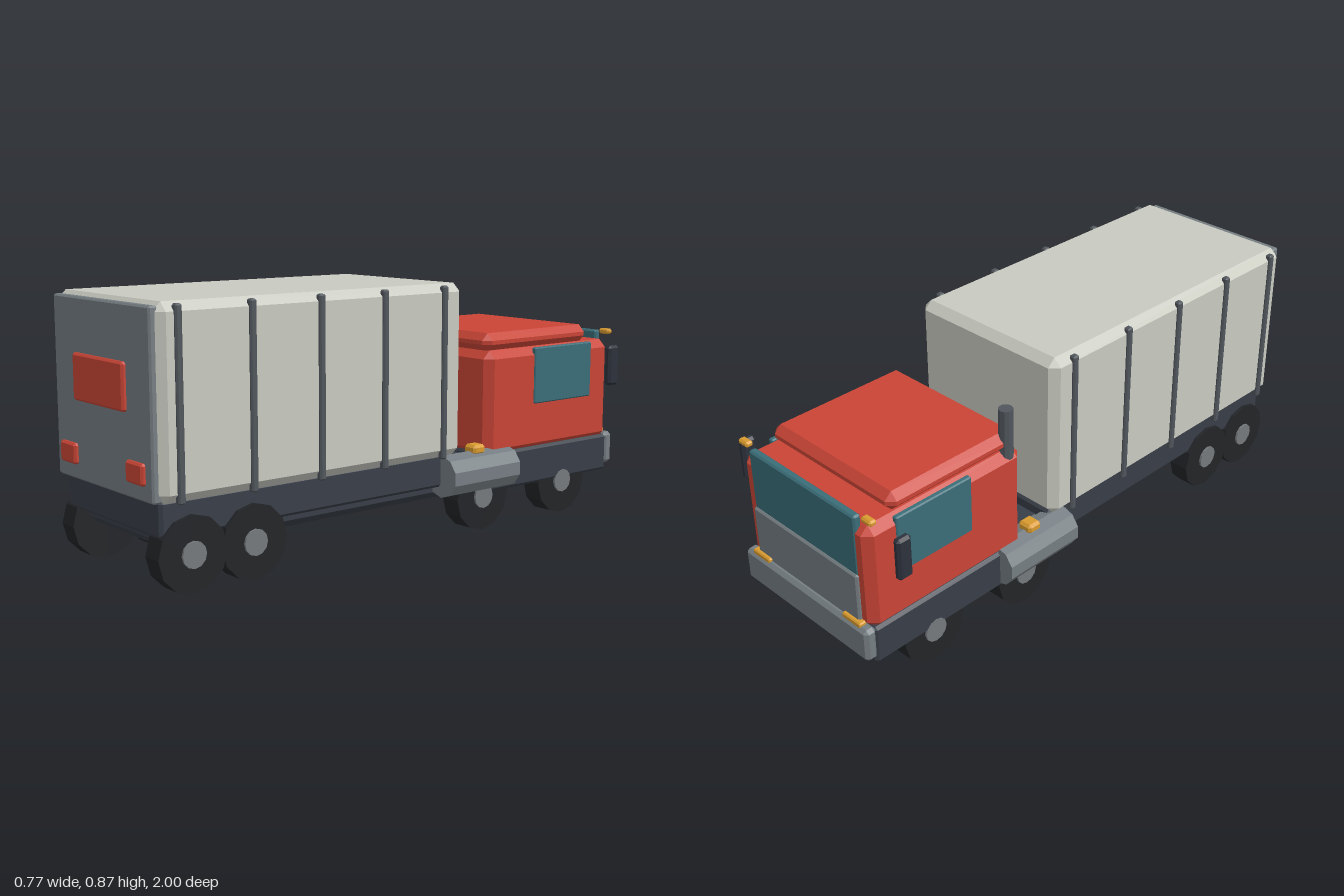
import * as THREE from 'three';
import { ConvexGeometry } from 'three/addons/geometries/ConvexGeometry.js';

const COLORS = {
  red: 0xc94436, cargo: 0xc8cac0, grey: 0x757d82, rib: 0x50565c, dark: 0x383e48,
  glass: 0x3a6d78, tyre: 0x222427, hub: 0x75797c, amber: 0xd89a2e, mirror: 0x2c313b,
};

const materials = {};
for (const [key, color] of Object.entries(COLORS)) {
  materials[key] = new THREE.MeshStandardMaterial({ color, flatShading: true });
}

// Box with chamfered edges, centred on the origin
function chamferBox(w, h, d, b) {
  const points = [];
  for (const sx of [-1, 1]) for (const sy of [-1, 1]) for (const sz of [-1, 1]) {
    for (let axis = 0; axis < 3; axis++) {
      const inset = [b, b, b];
      inset[axis] = 0;
      points.push(new THREE.Vector3(
        sx * (w / 2 - inset[0]), sy * (h / 2 - inset[1]), sz * (d / 2 - inset[2])));
    }
  }
  return new ConvexGeometry(points);
}

export function createModel() {
  const truck = new THREE.Group();
  truck.name = 'boxTruck';

  function add(name, geometry, material, x = 0, y = 0, z = 0) {
    const mesh = new THREE.Mesh(geometry, materials[material]);
    mesh.name = name;
    mesh.position.set(x, y, z);
    truck.add(mesh);
    return mesh;
  }

  // Chamfered block given by its extents on each axis
  function block(name, material, [x0, x1], [y0, y1], [z0, z1], bevel) {
    return add(name, chamferBox(x1 - x0, y1 - y0, z1 - z0, bevel), material,
      (x0 + x1) / 2, (y0 + y1) / 2, (z0 + z1) / 2);
  }

  // The same block on both sides
  function pair(name, material, [x0, x1], ys, zs, bevel) {
    block(name + 'Left', material, [x0, x1], ys, zs, bevel);
    block(name + 'Right', material, [-x1, -x0], ys, zs, bevel);
  }

  // Chassis
  block('chassis', 'dark', [-0.24, 0.24], [0.125, 0.25], [-0.95, 0.92], 0.025);
  block('cargoSubframe', 'dark', [-0.28, 0.28], [0.175, 0.29], [-0.2, 0.96], 0.01);
  block('cabBase', 'dark', [-0.3, 0.3], [0.13, 0.265], [-0.965, -0.345], 0.01);

  // Cargo body with ribs and rear door
  block('cargoBody', 'cargo', [-0.31, 0.31], [0.282, 0.866], [-0.212, 0.972], 0.028);
  for (const z of [0.906, 0.65, 0.393, 0.137, -0.12]) {
    pair('cargoRib', 'rib', [0.295, 0.319], [0.28, 0.86], [z - 0.012, z + 0.012], 0.005);
  }
  block('rearDoor', 'grey', [-0.287, 0.287], [0.285, 0.855], [0.955, 0.986], 0.006);
  block('rearPanel', 'red', [-0.151, 0.151], [0.538, 0.685], [0.975, 1], 0.007);
  pair('tailLight', 'red', [0.153, 0.249], [0.334, 0.4], [0.975, 1], 0.007);

  // Cab
  block('cab', 'red', [-0.3, 0.3], [0.25, 0.622], [-0.97, -0.34], 0.028);
  block('cabRoof', 'red', [-0.285, 0.285], [0.618, 0.682], [-0.865, -0.345], 0.025);
  block('windshield', 'glass', [-0.25, 0.25], [0.43, 0.652], [-0.973, -0.945], 0.006);
  pair('sideWindow', 'glass', [0.285, 0.305], [0.42, 0.62], [-0.862, -0.565], 0.004);
  block('grille', 'grey', [-0.25, 0.25], [0.25, 0.445], [-0.981, -0.955], 0.006);
  block('bumper', 'grey', [-0.3, 0.3], [0.153, 0.27], [-1, -0.955], 0.012);
  pair('bumperLight', 'amber', [0.18, 0.265], [0.262, 0.281], [-0.993, -0.965], 0.004);
  pair('mirror', 'mirror', [0.356, 0.385], [0.465, 0.61], [-0.925, -0.872], 0.009);
  pair('markerLight', 'amber', [0.27, 0.315], [0.642, 0.662], [-0.965, -0.938], 0.006);

  // Exhaust stack
  add('exhaustStack', new THREE.CylinderGeometry(0.024, 0.024, 0.42, 10), 'rib', -0.275, 0.56, -0.39);

  // Side tanks with amber lights on top
  for (const s of [-1, 1]) {
    const geometry = new THREE.CylinderGeometry(0.073, 0.073, 0.31, 10).rotateX(Math.PI / 2);
    add('fuelTank', geometry, 'grey', s * 0.284, 0.212, -0.292);
  }
  pair('tankLight', 'amber', [0.255, 0.311], [0.272, 0.306], [-0.322, -0.267], 0.009);

  // Wheels with hubs
  const tyre = new THREE.CylinderGeometry(0.12, 0.12, 0.073, 12).rotateZ(Math.PI / 2);
  const hub = new THREE.CylinderGeometry(0.042, 0.042, 0.02, 12).rotateZ(Math.PI / 2);
  for (const z of [0.858, 0.638, -0.325, -0.727]) {
    for (const s of [-1, 1]) {
      add('wheel', tyre, 'tyre', s * 0.257, 0.12, z);
      add('wheelHub', hub, 'hub', s * 0.291, 0.12, z);
    }
  }

  return truck;
}
